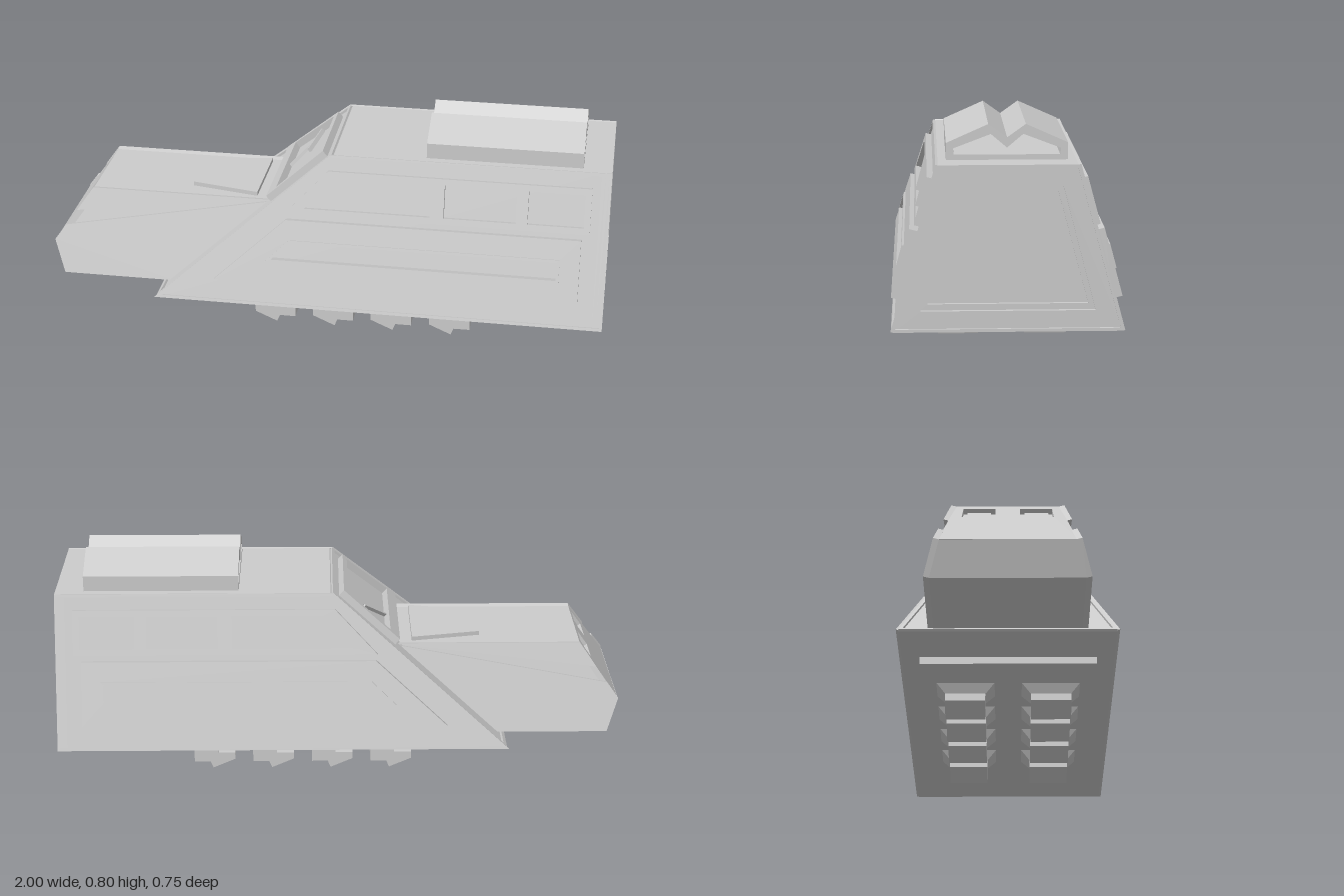
import * as THREE from 'three';

const TILT = 0.2685;                                  // inward lean of all side walls
const bodyW = y => 0.375 - TILT * (y - 0.145);        // body half width at height y
const noseW = y => 0.27 - TILT * (y - 0.16);          // nose half width at height y
const RIM = 0.008;

const V = (x, y, z) => new THREE.Vector3(x, y, z);

export function createModel() {
  const model = new THREE.Group();
  const mat = new THREE.MeshStandardMaterial({ color: 0xcccccc, flatShading: true });

  const add = (name, geo) => {
    const mesh = new THREE.Mesh(geo, mat);
    mesh.name = name;
    model.add(mesh);
    return mesh;
  };

  const extrude = (pts, holes, depth) => {
    const toV2 = list => list.map(p => new THREE.Vector2(p[0], p[1]));
    const shape = new THREE.Shape(toV2(pts));
    holes.forEach(h => shape.holes.push(new THREE.Path(toV2(h))));
    return new THREE.ExtrudeGeometry(shape, { depth, bevelEnabled: false });
  };

  // Plate lying on the plane origin + u*X + v*Y, thickened along its normal
  const plate = (name, pts, holes, depth, origin, X, Y) => {
    const N = X.clone().cross(Y).normalize();
    const m = new THREE.Matrix4().makeBasis(X, Y, N).setPosition(origin);
    return add(name, extrude(pts, holes, depth).applyMatrix4(m));
  };

  // Matching plates on both leaning sides; points are (x, y)
  const sidePlates = (name, pts, holes, depth, w, inset) => {
    for (const s of [1, -1]) {
      const flip = list => list.map(([x, y]) => [x * s, y]);
      plate(name, flip(pts), holes.map(flip), depth,
        V(0, 0, s * (w(0) - inset)), V(s, 0, 0), V(0, 1, -s * TILT));
    }
  };

  // Plate on a forward slope through (x0, y0) with run m per unit height; points are (z, y)
  const slopePlate = (name, pts, holes, depth, x0, y0, m) =>
    plate(name, pts, holes, depth, V(x0 - m * y0, 0, 0), V(0, 0, 1), V(m, 1, 0));

  const backPlate = (name, pts, holes, depth, x) =>
    plate(name, pts, holes, depth, V(x, 0, 0), V(0, 0, -1), V(0, 1, 0));

  // Symmetric trapezoid: half width a at height y0, half width b at height y1
  const trap = (a, y0, b, y1) => [[-a, y0], [a, y0], [b, y1], [-b, y1]];

  // Solid from an (x, y) profile whose half width depends on height
  const prism = (name, pts, w) => {
    const geo = extrude(pts, [], 2).translate(0, 0, -1);
    const p = geo.attributes.position;
    for (let i = 0; i < p.count; i++) p.setZ(i, p.getZ(i) * w(p.getY(i)));
    geo.computeVertexNormals();
    return add(name, geo);
  };

  // Body core
  const slope = 0.62 / 0.54, setBack = 0.012;
  const inner = y => bodyW(y) - RIM;
  prism('bodyCore', [[-0.6 + setBack, 0.145], [0.965, 0.145], [0.965, 0.685], [0.02 + setBack, 0.685]], inner);

  // Raised rims around the sides, windscreen slope and back
  sidePlates('sideRim', [[-0.6, 0.145], [1, 0.145], [1, 0.685], [0.02, 0.685]],
    [[[-0.572, 0.155], [0.99, 0.155], [0.99, 0.675], [0.025, 0.675]]], RIM, bodyW, RIM);
  slopePlate('frontRim', trap(inner(0.145), 0.145, inner(0.685), 0.682),
    [trap(inner(0.155) - 0.012, 0.155, inner(0.675) - 0.012, 0.674)], RIM, -0.6 + setBack, 0.145, slope);
  const backOutline = trap(inner(0.145), 0.145, inner(0.685), 0.685);
  backPlate('backRim', backOutline, [trap(inner(0.155) - 0.004, 0.155, inner(0.675) - 0.004, 0.675)], RIM, 0.992);

  // Stepped recess of the rear door
  backPlate('rearDoorInnerFrame', backOutline, [trap(0.257, 0.232, 0.16, 0.595)], 0.013, 0.965);
  backPlate('rearDoorOuterFrame', backOutline, [trap(0.28, 0.212, 0.175, 0.615)], 0.014, 0.978);

  // Upper side panel with three windows
  const rect = (x0, x1) => [[x0, 0.497], [x1, 0.497], [x1, 0.61], [x0, 0.61]];
  sidePlates('windowPanel', [[-0.134, 0.476], [0.936, 0.476], [0.936, 0.631], [0.016, 0.631]],
    [[[-0.064, 0.497], [0.38, 0.497], [0.38, 0.61], [0.058, 0.61]], rect(0.428, 0.68), rect(0.72, 0.915)],
    0.021, bodyW, RIM);

  // Lower side panel with a framed long slot
  const slot = [[-0.175, 0.315], [0.83, 0.315], [0.83, 0.376], [-0.108, 0.376]];
  const slotEdge = [[-0.198, 0.305], [0.84, 0.305], [0.84, 0.386], [-0.112, 0.386]];
  sidePlates('lowerPanel', [[-0.38, 0.23], [0.909, 0.23], [0.909, 0.455], [-0.128, 0.455]],
    [slotEdge], 0.031, bodyW, RIM);
  sidePlates('slotFrame', slotEdge, [slot], 0.038, bodyW, RIM);

  // Windscreen frame and wiper
  slopePlate('windscreenFrame', trap(0.217, 0.485, 0.178, 0.658),
    [trap(0.195, 0.514, 0.16, 0.645)], 0.026, -0.6 + setBack, 0.145, slope);
  slopePlate('wiperArm', [[-0.03, 0.514], [-0.02, 0.514], [-0.1, 0.585], [-0.106, 0.581]],
    [], 0.012, -0.6 + setBack, 0.145, slope);
  slopePlate('wiperBlade', [[-0.035, 0.571], [-0.035, 0.577], [-0.16, 0.602], [-0.16, 0.596]],
    [], 0.016, -0.6 + setBack, 0.145, slope);

  // Nose: core, side skins leaving a tapering groove, and a front face with light recesses
  prism('noseCore', [[-0.96, 0.158], [-1, 0.275], [-0.982, 0.265], [-0.844, 0.458], [-0.86, 0.47],
    [-0.2, 0.47], [-0.55, 0.158]], y => noseW(y) - 0.02);
  sidePlates('noseLowerSide', [[-1, 0.275], [-0.96, 0.158], [-0.55, 0.158], [-0.2, 0.465], [-0.96, 0.33]],
    [], 0.0195, noseW, 0.02);
  sidePlates('noseUpperSide', [[-0.92, 0.385], [-0.2, 0.468], [-0.2, 0.47], [-0.86, 0.47]],
    [], 0.0195, noseW, 0.02);
  const light = s => [[s * 0.04, 0.394], [s * 0.15, 0.394], [s * 0.145, 0.445], [s * 0.04, 0.445]];
  slopePlate('noseFront', trap(noseW(0.265) - 0.02, 0.265, noseW(0.458) - 0.02, 0.458),
    [light(1), light(-1)], 0.02, -0.982, 0.265, 0.138 / 0.193);
  for (const s of [1, -1])
    slopePlate('headlight', [[s * 0.055, 0.403], [s * 0.135, 0.403], [s * 0.132, 0.436], [s * 0.055, 0.436]],
      [], 0.01, -0.982, 0.265, 0.138 / 0.193);

  // Raised hood panel
  const hood = extrude([[-0.505, -0.1], [-0.26, -0.15], [-0.26, 0.15], [-0.505, 0.1]], [], 0.02);
  add('hoodPanel', hood.rotateX(-Math.PI / 2).translate(0, 0.465, 0));

  // Hollow roof unit with twin ridges
  const roof = extrude(
    [[-0.195, 0.683], [0.195, 0.683], [0.195, 0.74], [0.06, 0.8], [0, 0.757], [-0.06, 0.8], [-0.195, 0.74]],
    [[[-0.17, 0.702], [0.17, 0.702], [0.173, 0.722], [0.052, 0.768], [0, 0.724], [-0.052, 0.768], [-0.173, 0.722]]],
    0.545);
  add('roofUnit', roof.rotateY(Math.PI / 2).translate(0.355, 0, 0));

  // Underside plate
  add('bottomPlate', new THREE.BoxGeometry(1.225, 0.03, 0.61).translate(0.2325, 0.135, 0));

  // Eight feet: flared neck and stepped sole
  const sole = [[-0.26, 0.06], [-0.198, 0.06], [-0.198, 0.087], [-0.112, 0.087], [-0.112, 0.025],
    [-0.17, 0.025], [-0.18, 0], [-0.26, 0.035]];
  for (let i = 0; i < 4; i++) for (const s of [1, -1]) {
    const x = i * 0.213, z = s * 0.15;
    const neck = new THREE.BoxGeometry(0.086, 0.038, 0.14);
    const p = neck.attributes.position;
    for (let j = 0; j < p.count; j++)
      if (p.getY(j) > 0) p.setXYZ(j, p.getX(j) * 1.43, p.getY(j), p.getZ(j) * 1.5);
    neck.computeVertexNormals();
    add('footNeck', neck.translate(x - 0.156, 0.104, z));
    add('footSole', extrude(sole, [], 0.14).translate(x, 0, z - 0.07));
  }

  return model;
}
